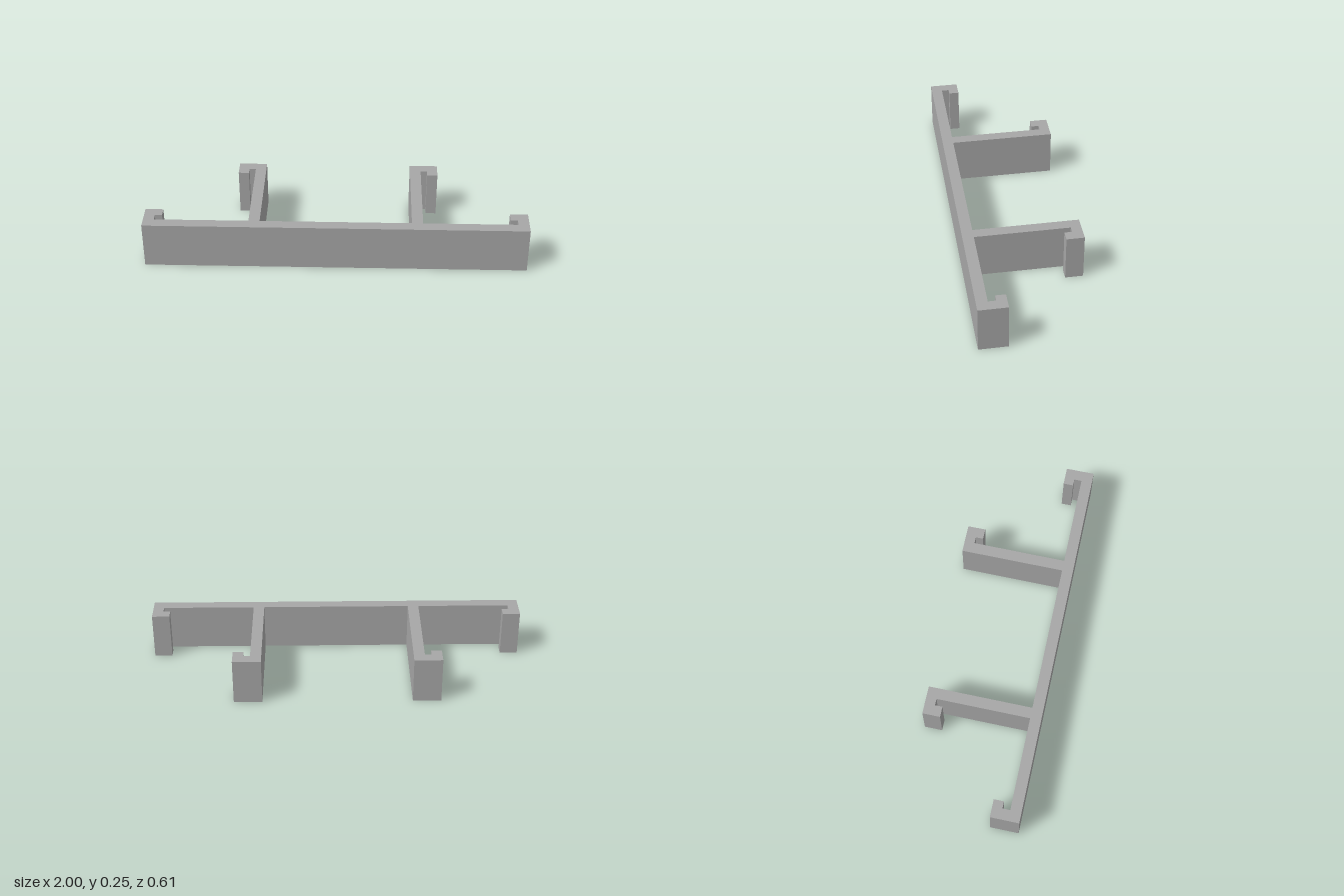
import * as THREE from 'three';

const HEIGHT = 0.25;

// Right half of the plan outline as [x, z], from front centre to back centre
const HALF = [
  // front face and end wall with its inward lip
  [1, 0.304], [1, 0.153], [0.906, 0.153], [0.906, 0.206], [0.943, 0.206], [0.943, 0.246],
  // outer side of the arm, with its outward hook
  [0.452, 0.246], [0.452, -0.25], [0.487, -0.25], [0.487, -0.21], [0.543, -0.21], [0.543, -0.304],
  // inner side of the arm
  [0.394, -0.304], [0.394, 0.246],
];

export function createModel() {
  const gray = new THREE.MeshStandardMaterial({ color: 0xa6a6a6 });
  gray.name = 'gray';

  // Mirror the half outline and extrude it upwards
  const mirrored = HALF.map(([x, z]) => [-x, z]).reverse();
  const outline = [...HALF, ...mirrored].map(([x, z]) => new THREE.Vector2(x, -z));
  const geometry = new THREE.ExtrudeGeometry(new THREE.Shape(outline), {
    depth: HEIGHT,
    bevelEnabled: false,
  });
  geometry.rotateX(-Math.PI / 2);

  const bracket = new THREE.Mesh(geometry, gray);
  bracket.name = 'hookedBracketProfile';

  const model = new THREE.Group();
  model.name = 'bracket';
  model.add(bracket);
  return model;
}
